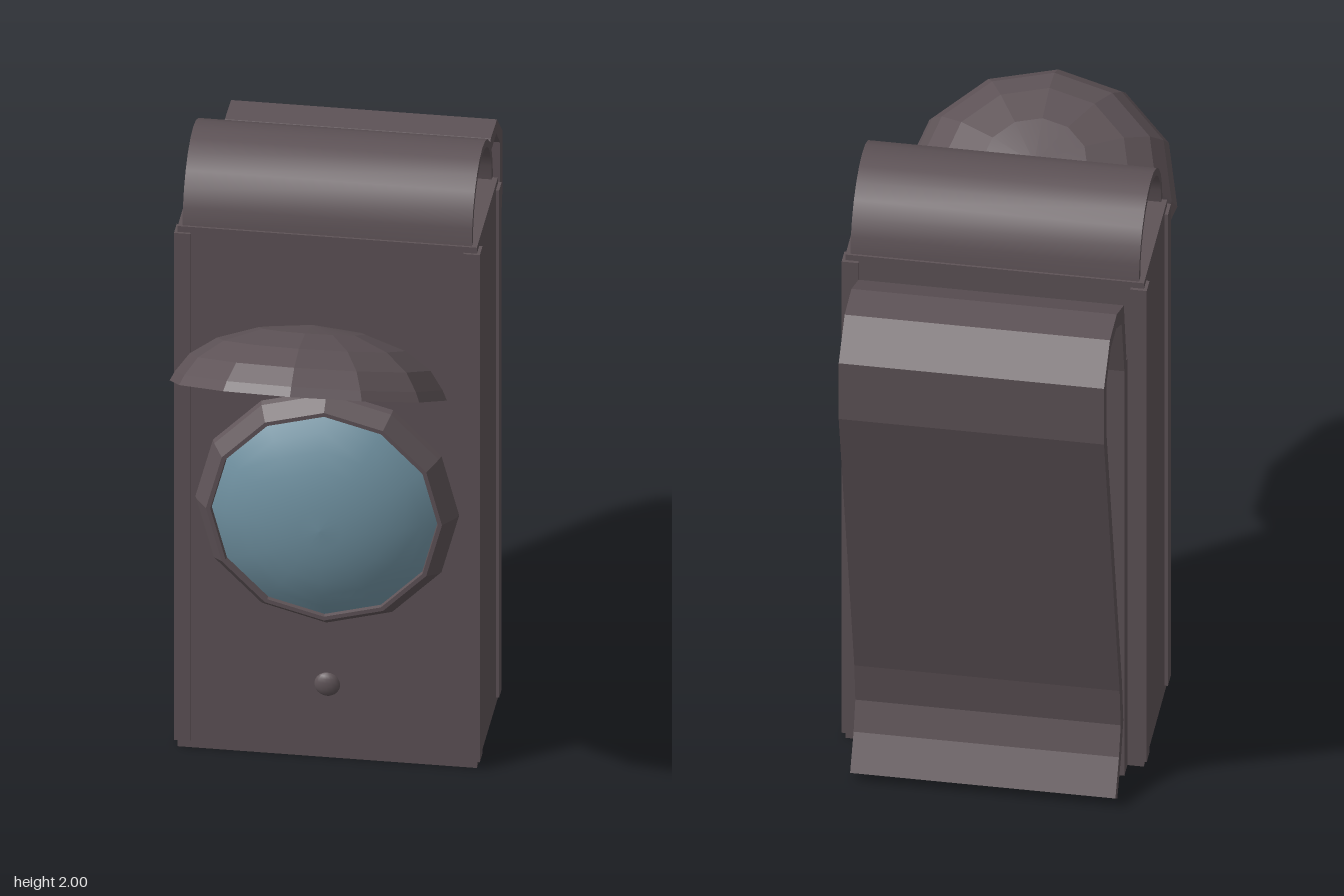
import * as THREE from 'three';
import { toCreasedNormals } from 'three/addons/utils/BufferGeometryUtils.js';

export function createModel() {
  const model = new THREE.Group();
  model.name = 'clipOnLamp';

  const casing = new THREE.MeshStandardMaterial({ color: 0x5e5357 });
  casing.name = 'dark casing';
  const glass = new THREE.MeshStandardMaterial({ color: 0x7092a2 });
  glass.name = 'blue glass';

  const add = (name, geometry, material = casing, parent = model) => {
    const mesh = new THREE.Mesh(geometry, material);
    mesh.name = name;
    parent.add(mesh);
    return mesh;
  };

  // Box given by its minimum and maximum corners
  const box = (x0, x1, y0, y1, z0, z1) =>
    new THREE.BoxGeometry(x1 - x0, y1 - y0, z1 - z0)
      .translate((x0 + x1) / 2, (y0 + y1) / 2, (z0 + z1) / 2);

  // Side profile of [z, y] points, extruded across x
  const across = (points, width) => {
    const shape = new THREE.Shape(points.map(([z, y]) => new THREE.Vector2(-z, y)));
    return new THREE.ExtrudeGeometry(shape, { depth: width, bevelEnabled: false })
      .translate(0, 0, -width / 2)
      .rotateY(Math.PI / 2);
  };

  const lathe = (points) =>
    new THREE.LatheGeometry(points.map(([r, y]) => new THREE.Vector2(r, y)), 12);
  const faceted = (geometry) => toCreasedNormals(geometry, 0.12);

  // Case with L-shaped trims on its four upright edges
  add('case', box(-0.45, 0.45, 0, 1.78, -0.38, 0.048));
  for (const side of [1, -1]) {
    for (const [end, z0, z1] of [['front', 0.045, 0.056], ['back', -0.39, -0.379]]) {
      const trim = new THREE.Group();
      trim.name = end + (side > 0 ? 'LeftTrim' : 'RightTrim');
      const xs = [side * 0.41, side * 0.46].sort((a, b) => a - b);
      add('trimFace', box(xs[0], xs[1], 0.025, 1.76, z0, z1), casing, trim);
      const ws = [side * 0.449, side * 0.46].sort((a, b) => a - b);
      const zs = end === 'front' ? [0, z0] : [z1, -0.338];
      add('trimSide', box(ws[0], ws[1], 0.025, 1.76, zs[0], zs[1]), casing, trim);
      model.add(trim);
    }
  }

  // Arched top loop, open at both ends
  const arch = [];
  const arcPoint = (r, i) => {
    const a = (Math.PI * i) / 12;
    return [-0.165 + r * Math.cos(a), 1.785 + r * Math.sin(a)];
  };
  for (let i = 0; i <= 12; i++) arch.push(arcPoint(0.215, i));
  for (let i = 12; i >= 0; i--) arch.push(arcPoint(0.192, i));
  add('topLoop', toCreasedNormals(across(arch, 0.87), 0.6));

  // Belt clip: flat plate, folded top and sloping spring leaf
  add('beltClip', across([
    [-0.38, 0], [-0.38, 1.5], [-0.395, 1.5], [-0.445, 1.74], [-0.575, 1.8],
    [-0.7, 1.795], [-0.81, 1.695], [-0.81, 1.49], [-0.522, 0.375],
    [-0.503, 0.235], [-0.535, 0.14], [-0.6, 0.035], [-0.565, 0.01],
    [-0.495, 0.115], [-0.455, 0.22], [-0.48, 0.38], [-0.765, 1.5],
    [-0.765, 1.68], [-0.685, 1.755], [-0.585, 1.755], [-0.485, 1.7],
    [-0.435, 1.49], [-0.435, 0],
  ], 0.8));

  // Twelve-sided bezel and domed lens
  const lamp = new THREE.Group();
  lamp.name = 'lamp';
  lamp.position.set(0, 0.86, 0.045);
  lamp.rotation.x = Math.PI / 2;
  model.add(lamp);
  add('bezel', faceted(lathe([
    [0.398, 0], [0.39, 0.02], [0.355, 0.07], [0.342, 0.07], [0.335, 0.04],
  ])), casing, lamp);
  const dome = [];
  for (let i = 0; i <= 6; i++) {
    const a = ((1 - i / 6) * Math.PI) / 3.6;
    const k = Math.PI / 3.6;
    dome.push([
      (0.343 * Math.sin(a)) / Math.sin(k),
      0.055 + (0.106 * (Math.cos(a) - Math.cos(k))) / (1 - Math.cos(k)),
    ]);
  }
  add('lens', lathe(dome), glass, lamp);

  // Raised hollow cover with its hinge
  const cover = add('cover', faceted(lathe([
    [0, 0.178], [0.155, 0.16], [0.27, 0.12], [0.345, 0.07], [0.398, 0],
    [0.417, 0], [0.402, 0.03], [0.362, 0.085], [0.283, 0.138], [0.16, 0.178], [0, 0.196],
  ])));
  cover.position.set(0, 1.472, 0.435);
  cover.rotation.x = -0.464;
  add('hinge', box(-0.145, 0.145, 1.265, 1.295, 0.04, 0.075));

  // Small push button below the lamp
  const button = add('button', new THREE.SphereGeometry(0.04, 16, 10));
  button.position.set(0, 0.25, 0.045);
  button.scale.z = 0.55;

  return model;
}
